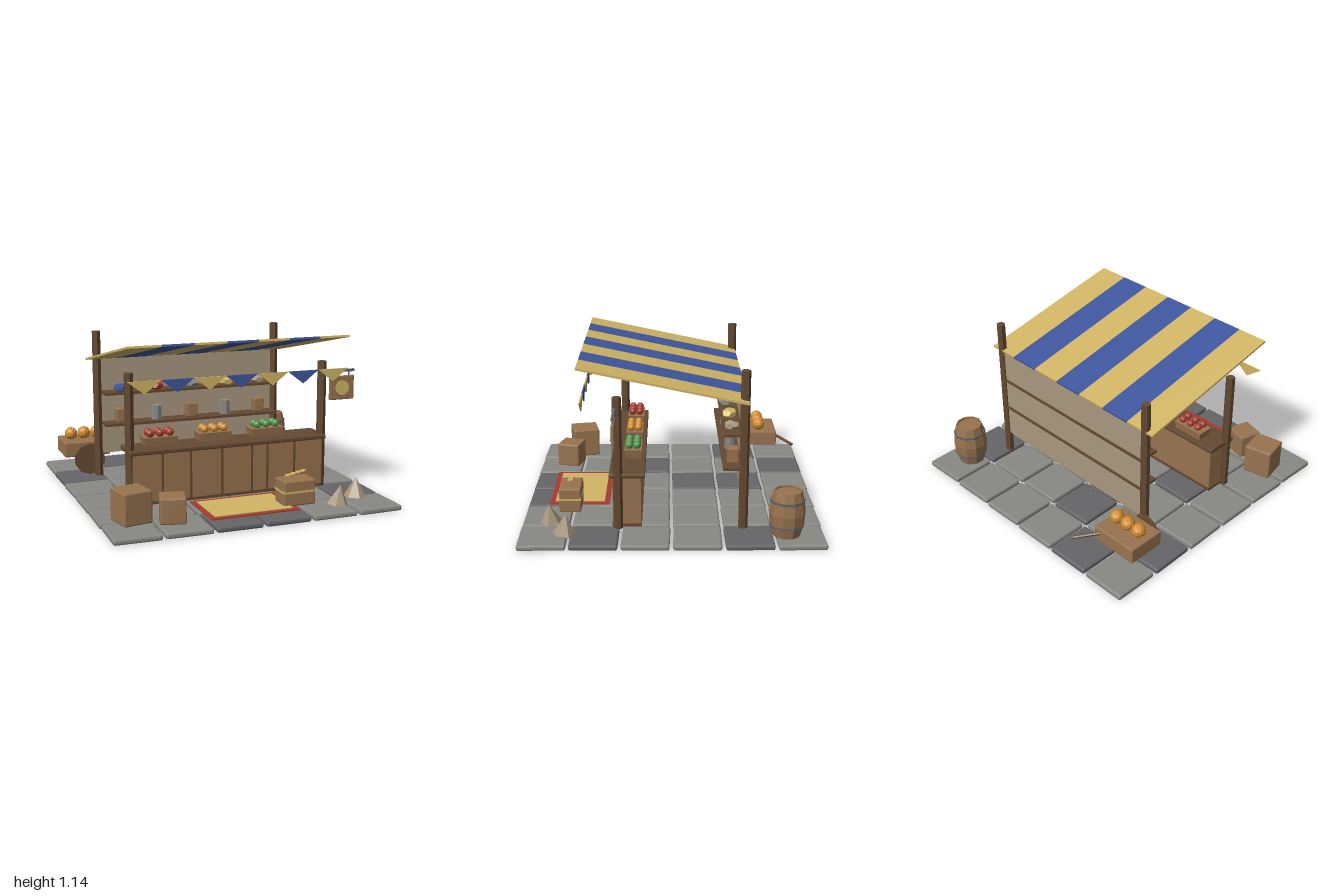
import * as THREE from 'three';
import { RoundedBoxGeometry } from 'three/addons/geometries/RoundedBoxGeometry.js';

const paint = (name, color) => Object.assign(new THREE.MeshStandardMaterial({ color }), { name });

export function createModel() {
  const model = new THREE.Group();
  model.name = 'marketStall';

  const wood = paint('wood', 0x98734f);
  const darkWood = paint('dark wood', 0x644932);
  const stone = paint('stone', 0x888984);
  const darkStone = paint('dark stone', 0x656467);
  const yellow = paint('yellow cloth', 0xd1b464);
  const blue = paint('blue cloth', 0x3f569e);
  const red = paint('red', 0xa63a32);
  const orange = paint('orange', 0xd18c30);
  const green = paint('green', 0x52964f);
  const canvas = paint('canvas', 0xa9987f);

  // Adds a faceted mesh at a position with an optional rotation
  function add(name, geometry, material, x, y, z, rx = 0, ry = 0, rz = 0, parent = model) {
    const g = geometry.index ? geometry.toNonIndexed() : geometry;
    g.computeVertexNormals();
    const mesh = new THREE.Mesh(g, material);
    mesh.name = name;
    mesh.position.set(x, y, z);
    mesh.rotation.set(rx, ry, rz);
    parent.add(mesh);
    return mesh;
  }
  const box = (w, h, d) => new THREE.BoxGeometry(w, h, d);
  const chamfered = (w, h, d, b = 0.01) => new RoundedBoxGeometry(w, h, d, 1, b);
  const cylinder = (r, h, n, top = r) => new THREE.CylinderGeometry(top, r, h, n);
  const ball = (r) => new THREE.IcosahedronGeometry(r, 1);

  // Paving: six by six slabs, slightly turned, a few of them darker
  const darkSlabs = ['1,0', '0,1', '2,1', '5,1', '2,2', '1,3', '5,4', '2,5', '3,5'];
  for (let r = 0; r < 6; r++) {
    for (let c = 0; c < 6; c++) {
      const turn = 0.025 * Math.sin(c * 12.9 + r * 7.3);
      add('pavingSlab', chamfered(0.312, 0.038, 0.312, 0.012),
        darkSlabs.includes(c + ',' + r) ? darkStone : stone,
        (c - 2.5) * 0.3335, 0.019, (r - 2.5) * 0.3335, 0, turn);
    }
  }

  // Four hexagonal posts
  for (const x of [-0.7, 0.7]) {
    add('frontPost', cylinder(0.031, 0.895, 6), darkWood, x, 0.483, 0.35);
    add('backPost', cylinder(0.031, 1.07, 6), darkWood, x, 0.57, -0.47);
  }

  // Striped sloping awning, with a pennant below each stripe
  const awning = new THREE.Group();
  awning.name = 'awning';
  awning.position.set(0, 1.018, 0.055);
  awning.rotation.x = -Math.atan2(0.23, 1.09);
  model.add(awning);
  const stripe = 1.55 / 7;
  const triangle = new THREE.Shape([
    new THREE.Vector2(-stripe / 2, 0), new THREE.Vector2(0, -0.085), new THREE.Vector2(stripe / 2, 0)]);
  for (let i = 0; i < 7; i++) {
    const material = i % 2 ? blue : yellow;
    const x = (i - 3) * stripe;
    add('awningStripe', box(stripe, 0.014, 1.114), material, x, 0, 0, 0, 0, 0, awning);
    add('pennant', new THREE.ExtrudeGeometry(triangle, { depth: 0.009, bevelEnabled: false }),
      material, x, 0.913, 0.575);
  }

  // Back cloth and shelves
  add('backCloth', box(1.36, 0.7, 0.012), canvas, 0, 0.55, -0.472);
  for (const y of [0.43, 0.66]) add('shelf', box(1.35, 0.018, 0.15), darkWood, 0, y, -0.412);

  // Goods on the shelves: boxes and jars below, folded bundles above
  const bundleColours = [blue, red, stone, yellow, canvas];
  for (let i = 0; i < 5; i++) {
    const x = (i - 2) * 0.271;
    if (i % 2) add('jar', cylinder(0.04, 0.105, 8), stone, x, 0.492, -0.405);
    else add('shelfBox', chamfered(0.082, 0.105, 0.075, 0.008), wood, x, 0.492, -0.405);
    const bundle = add('bundle', new THREE.DodecahedronGeometry(1, 0), bundleColours[i],
      x, 0.693, -0.395, 0, i * 0.9, i % 2 ? 0.15 : -0.1);
    bundle.scale.set(0.062, 0.033, 0.052);
  }

  // Counter with plank dividers
  add('counterBody', box(1.38, 0.345, 0.185), wood, 0, 0.215, 0.293);
  add('counterTop', chamfered(1.43, 0.03, 0.235, 0.007), darkWood, 0, 0.4, 0.29);
  add('counterBase', box(1.39, 0.02, 0.195), darkWood, 0, 0.05, 0.293);
  for (const x of [-0.485, -0.285, -0.06, 0.16, 0.275, 0.48]) {
    add('plankDivider', box(0.014, 0.33, 0.008), darkWood, x, 0.22, 0.387);
  }

  // Fruit trays, wider at the top
  [[-0.468, red], [-0.08, orange], [0.308, green]].forEach(([x, material]) => {
    const tray = box(0.24, 0.06, 0.12);
    const p = tray.attributes.position;
    for (let i = 0; i < p.count; i++) {
      if (p.getY(i) < 0) p.setXYZ(i, p.getX(i) * 0.9, p.getY(i), p.getZ(i) * 0.85);
    }
    add('fruitTray', tray, wood, x, 0.446, 0.258);
    for (let i = 0; i < 6; i++) {
      add('fruit', ball(0.027), material, x + ((i % 3) - 1) * 0.07, 0.5, 0.232 + Math.floor(i / 3) * 0.053);
    }
  });

  // Hanging sign with a round emblem
  add('signRod', box(0.24, 0.018, 0.018), darkStone, 0.825, 0.856, 0.365);
  add('signBoard', chamfered(0.19, 0.17, 0.02, 0.006), wood, 0.848, 0.735, 0.365);
  for (const x of [0.79, 0.905]) add('signLink', box(0.008, 0.035, 0.008), darkStone, x, 0.833, 0.365);
  add('signDisc', cylinder(0.052, 0.008, 12), yellow, 0.848, 0.735, 0.378, Math.PI / 2);

  // Rug
  add('rugBorder', box(0.62, 0.008, 0.415), red, 0, 0.042, 0.637);
  add('rugCentre', box(0.55, 0.008, 0.345), yellow, 0, 0.046, 0.637);

  // Barrel with two hoops and a sunken lid
  const barrel = new THREE.Group();
  barrel.name = 'barrel';
  barrel.position.set(0.81, 0.038, -0.745);
  model.add(barrel);
  const profile = [[0, 0], [0.093, 0], [0.112, 0.08], [0.119, 0.152], [0.112, 0.225],
    [0.093, 0.305], [0.082, 0.305], [0.082, 0.292], [0, 0.292]].map(([r, y]) => new THREE.Vector2(r, y));
  add('barrelStaves', new THREE.LatheGeometry(profile, 10), wood, 0, 0, 0, 0, 0, 0, barrel);
  for (const y of [0.07, 0.238]) {
    const hoop = add('barrelHoop', cylinder(0.114, 0.018, 10), darkStone, 0, y, 0, 0, 0, 0, barrel);
    hoop.scale.set(0.995, 1, 0.995);
  }

  // Crates in front
  add('largeCrate', chamfered(0.2, 0.215, 0.2), wood, -0.79, 0.147, 0.68, 0, 0.2);
  add('smallCrate', chamfered(0.168, 0.172, 0.168), wood, -0.545, 0.125, 0.765, 0, -0.27);

  // Chest with a band and a row of coins
  add('chest', chamfered(0.23, 0.172, 0.15), wood, 0.345, 0.126, 0.69);
  add('chestBand', box(0.234, 0.014, 0.154), yellow, 0.345, 0.135, 0.69);
  for (let i = 0; i < 4; i++) {
    add('coin', cylinder(0.02, 0.007, 8), yellow, 0.29 + i * 0.037, 0.236 + i * 0.007, 0.688, 0, 0, 0.15);
  }

  // Pointed sacks
  add('sack', cylinder(0.075, 0.13, 6, 0.002), canvas, 0.61, 0.1, 0.81, 0.1, 0.4, -0.15);
  add('sack', cylinder(0.078, 0.135, 6, 0.002), canvas, 0.8, 0.102, 0.69, 0.05, 1, -0.18);

  // Handcart with fruit, wheel and handle
  add('cartBody', chamfered(0.34, 0.11, 0.265, 0.008), wood, -0.76, 0.218, -0.688);
  add('cartWheel', cylinder(0.115, 0.024, 10), darkWood, -0.757, 0.153, -0.512, Math.PI / 2);
  add('cartAxle', cylinder(0.018, 0.07, 6), darkWood, -0.757, 0.18, -0.54, Math.PI / 2);
  const from = new THREE.Vector3(-0.64, 0.235, -0.81);
  const to = new THREE.Vector3(-0.51, 0.195, -0.935);
  const handle = add('cartHandle', cylinder(0.011, from.distanceTo(to), 6), darkWood, 0, 0, 0);
  handle.position.copy(from).lerp(to, 0.5);
  handle.quaternion.setFromUnitVectors(new THREE.Vector3(0, 1, 0), to.clone().sub(from).normalize());
  for (let i = 0; i < 3; i++) add('cartFruit', ball(0.048), orange, -0.855 + i * 0.097, 0.315, -0.685);

  return model;
}
